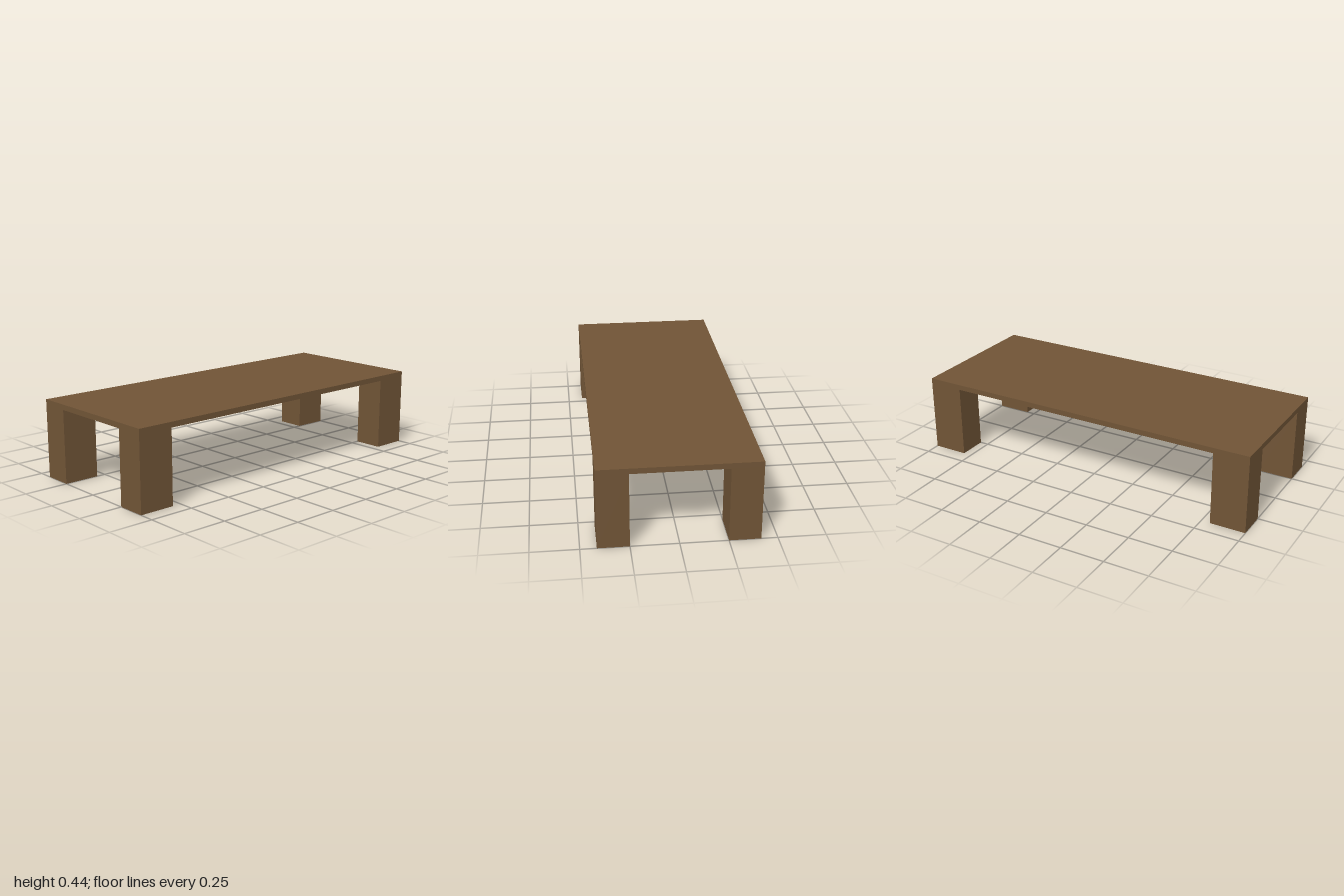
import * as THREE from 'three';

const LENGTH = 2, DEPTH = 0.83, HEIGHT = 0.44, TOP = 0.03;
const LEG_W = 0.2, LEG_D = 0.165;

export function createModel() {
  const table = new THREE.Group();
  table.name = 'lowTable';

  const wood = new THREE.MeshStandardMaterial({ color: 0x705436 });
  wood.name = 'brown wood';

  // Thin tabletop
  const top = new THREE.Mesh(new THREE.BoxGeometry(LENGTH, TOP, DEPTH), wood);
  top.name = 'tabletop';
  top.position.y = HEIGHT - TOP / 2;
  table.add(top);

  // Four block legs, flush with the corners
  const legHeight = HEIGHT - TOP;
  const legGeometry = new THREE.BoxGeometry(LEG_W, legHeight, LEG_D);
  for (const [side, sx] of [['Left', 1], ['Right', -1]]) {
    for (const [end, sz] of [['front', 1], ['back', -1]]) {
      const leg = new THREE.Mesh(legGeometry, wood);
      leg.name = `${end}${side}Leg`;
      leg.position.set(sx * (LENGTH - LEG_W) / 2, legHeight / 2, sz * (DEPTH - LEG_D) / 2);
      table.add(leg);
    }
  }
  return table;
}
